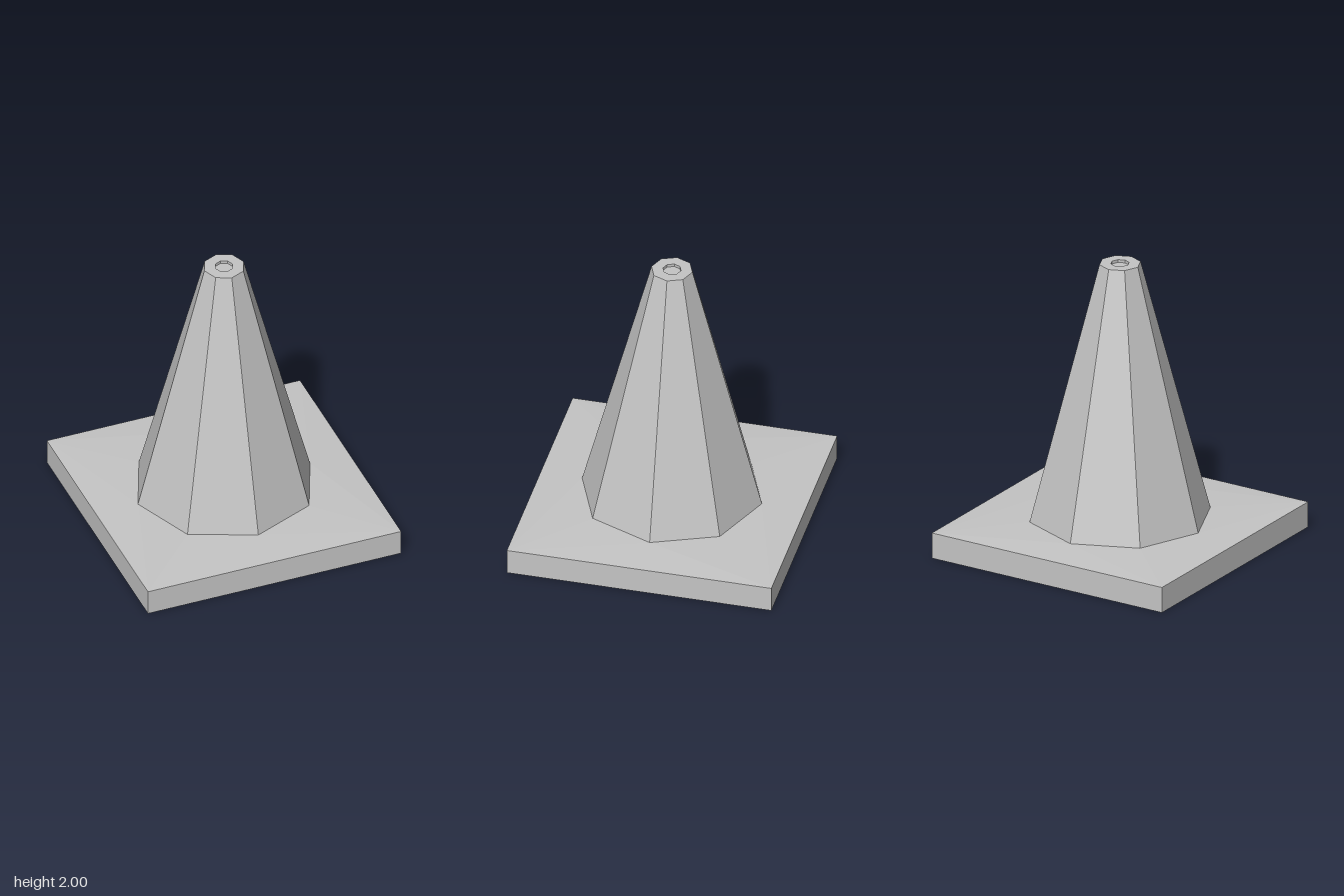
import * as THREE from 'three';

const SIDES = 8, HALF = 0.905, EDGE_Y = 0.18, FOOT_Y = 0.2, FOOT_R = 0.615;

// Point on a vertical-axis ring; index 0 faces +z, index 2 faces +x
function ring(i, radius, y) {
  const a = (i / SIDES) * Math.PI * 2;
  return [Math.sin(a) * radius, y, Math.cos(a) * radius];
}

function meshFromTriangles(name, triangles, material) {
  const geometry = new THREE.BufferGeometry();
  geometry.setAttribute('position', new THREE.Float32BufferAttribute(triangles.flat(2), 3));
  geometry.computeVertexNormals();
  const mesh = new THREE.Mesh(geometry, material);
  mesh.name = name;
  return mesh;
}

export function createModel() {
  const group = new THREE.Group();
  group.name = 'trafficCone';
  const grey = new THREE.MeshStandardMaterial({ color: 0xc4c4c4, flatShading: true, side: THREE.DoubleSide });
  grey.name = 'light grey';

  // Hollow eight-sided cone with a flat rim and a shallow recess on top
  const profile = [[FOOT_R, FOOT_Y], [0.14, 2], [0.062, 2], [0.062, 1.98], [0, 1.98]];
  const cone = new THREE.Mesh(
    new THREE.LatheGeometry(profile.map(([r, y]) => new THREE.Vector2(r, y)), SIDES), grey);
  cone.name = 'coneBody';
  group.add(cone);

  // Open-bottomed square base: upright skirt, and a deck rising slightly to the cone foot
  const skirt = [], deck = [];
  const corner = (k, y) => ring(k, HALF * Math.SQRT2, y);
  const foot = (k) => ring(k, FOOT_R, FOOT_Y);
  for (let k = 1; k < SIDES; k += 2) {
    const a = corner(k, EDGE_Y), b = corner(k + 2, EDGE_Y);
    const a0 = corner(k, 0), b0 = corner(k + 2, 0);
    skirt.push([a0, b0, b], [a0, b, a]);
    deck.push([a, b, foot(k + 1)], [foot(k - 1), a, foot(k)], [a, foot(k + 1), foot(k)]);
  }
  group.add(meshFromTriangles('baseSkirt', skirt, grey));
  group.add(meshFromTriangles('baseDeck', deck, grey));

  return group;
}
